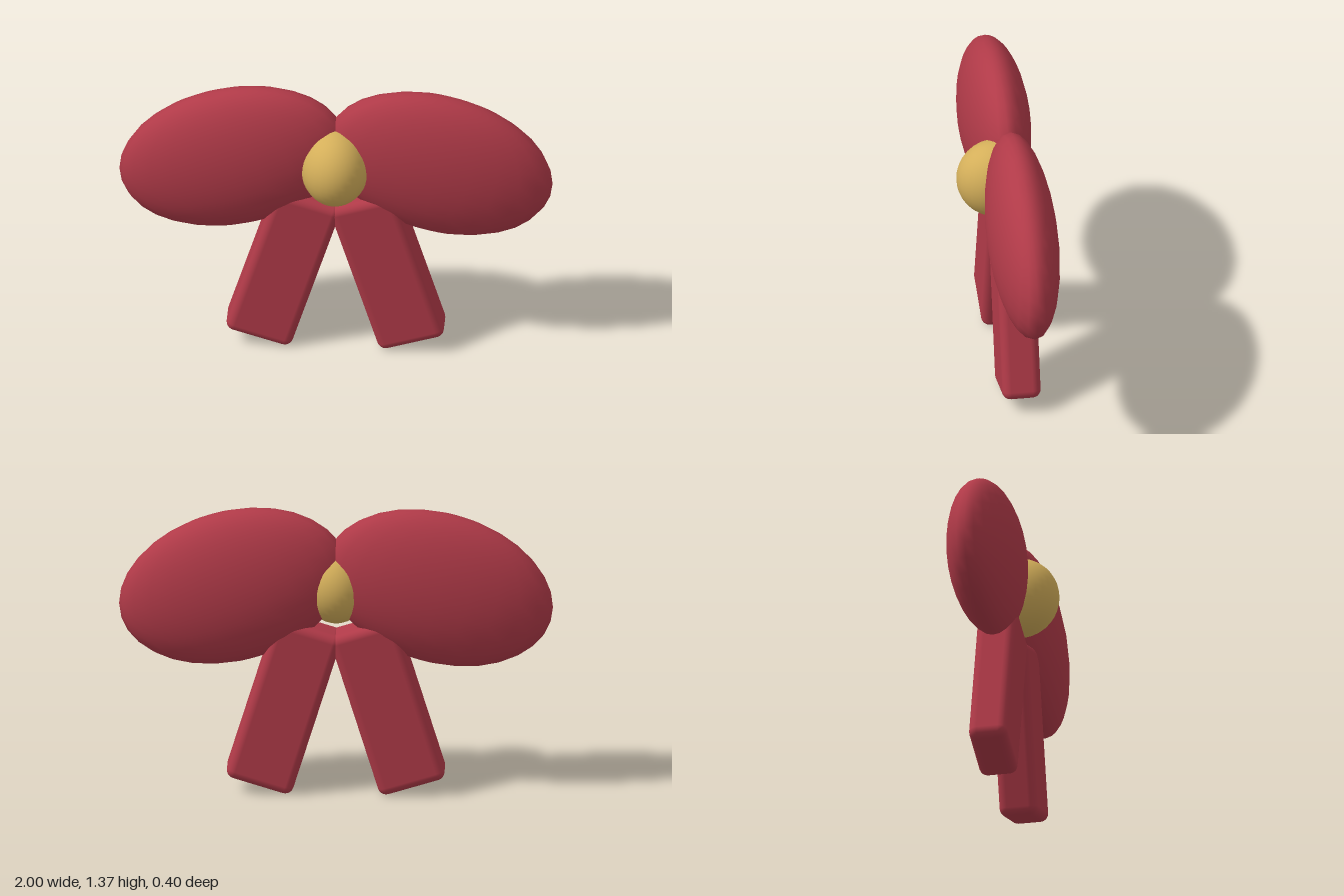
import * as THREE from 'three';
import { RoundedBoxGeometry } from 'three/addons/geometries/RoundedBoxGeometry.js';

export function createModel() {
  const group = new THREE.Group();
  const ribbon = new THREE.MeshStandardMaterial({ color: 0xb03a48 });
  const gold = new THREE.MeshStandardMaterial({ color: 0xd4af5a });

  const add = (name, geometry, material, x, y, z, tilt = 0) => {
    const mesh = new THREE.Mesh(geometry, material);
    mesh.name = name;
    mesh.position.set(x, y, z);
    mesh.rotation.z = tilt;
    group.add(mesh);
    return mesh;
  };

  const ball = new THREE.SphereGeometry(1, 24, 16);
  const tail = new RoundedBoxGeometry(0.32, 0.81, 0.18, 3, 0.04);

  for (const [side, s] of [['left', 1], ['right', -1]]) {
    // puffy flattened loop, drooping outwards
    add(`${side}Loop`, ball, ribbon, s * 0.475, 0.99, -0.04, s * -0.3)
      .scale.set(0.54, 0.36, 0.16);
    // ribbon tail, splayed outwards
    add(`${side}Tail`, tail, ribbon, s * 0.24, 0.42, -0.037, s * 0.3);
  }

  // centre knot
  add('knot', new THREE.SphereGeometry(1, 32, 20), gold, 0, 0.99, 0.015)
    .scale.set(0.16, 0.188, 0.185);

  return group;
}
